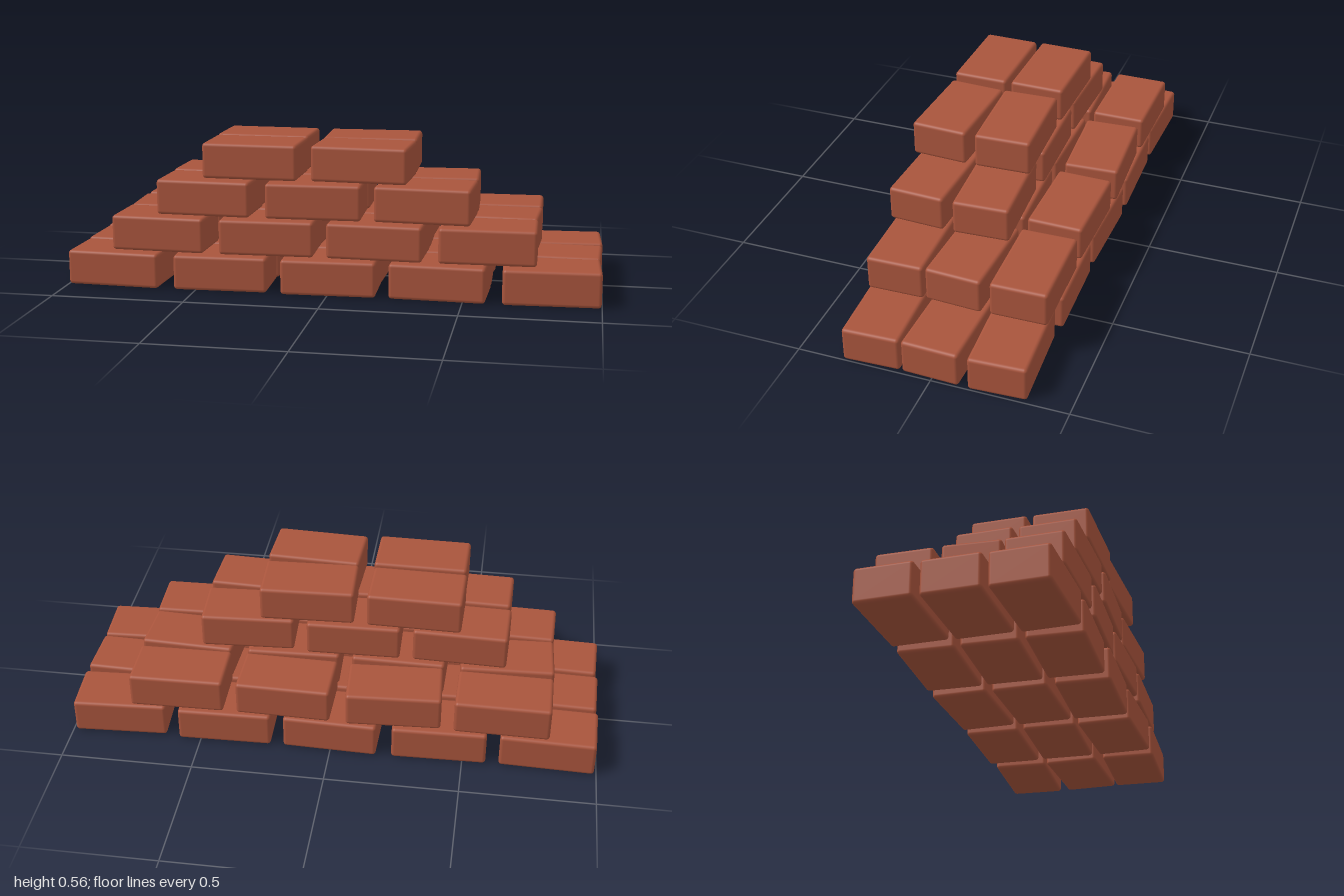
import * as THREE from 'three';
import { RoundedBoxGeometry } from 'three/addons/geometries/RoundedBoxGeometry.js';

// Yaw of each brick in radians: courses from the bottom up, then rows front to back.
const YAWS = [
  [[-0.04, 0.03, 0.03, -0.03, 0.04], [-0.03, 0.02, -0.02, 0.03, -0.03], [-0.03, 0.02, -0.03, 0.02, 0.05]],
  [[-0.03, 0.03, -0.03, 0.02], [0.04, -0.02, 0.03, -0.05], [-0.01, 0.05, -0.02, 0.015]],
  [[-0.03, 0.03, -0.045], [-0.03, 0.02, 0.05]],
  [[-0.015, -0.05], [-0.02, 0.035]],
];

export function createModel() {
  const model = new THREE.Group();
  model.name = 'brickPile';

  const brickRed = new THREE.MeshStandardMaterial({ color: 0xa8543c });
  brickRed.name = 'brickRed';

  // One softly rounded brick shared by the whole stack
  const brickGeometry = new RoundedBoxGeometry(0.355, 0.132, 0.212, 3, 0.013);

  // Each course steps in from the ends; the upper two are only two rows deep
  YAWS.forEach((rows, level) => {
    const course = new THREE.Group();
    course.name = `course${level + 1}`;
    course.position.y = 0.067 + level * 0.1425;
    rows.forEach((yaws, row) => yaws.forEach((yaw, i) => {
      const brick = new THREE.Mesh(brickGeometry, brickRed);
      brick.name = `brick${row + 1}_${i + 1}`;
      brick.position.set(-0.817 + level * 0.177 + i * 0.4085, 0, 0.231 - row * 0.231);
      brick.rotation.y = yaw;
      course.add(brick);
    }));
    model.add(course);
  });

  return model;
}
